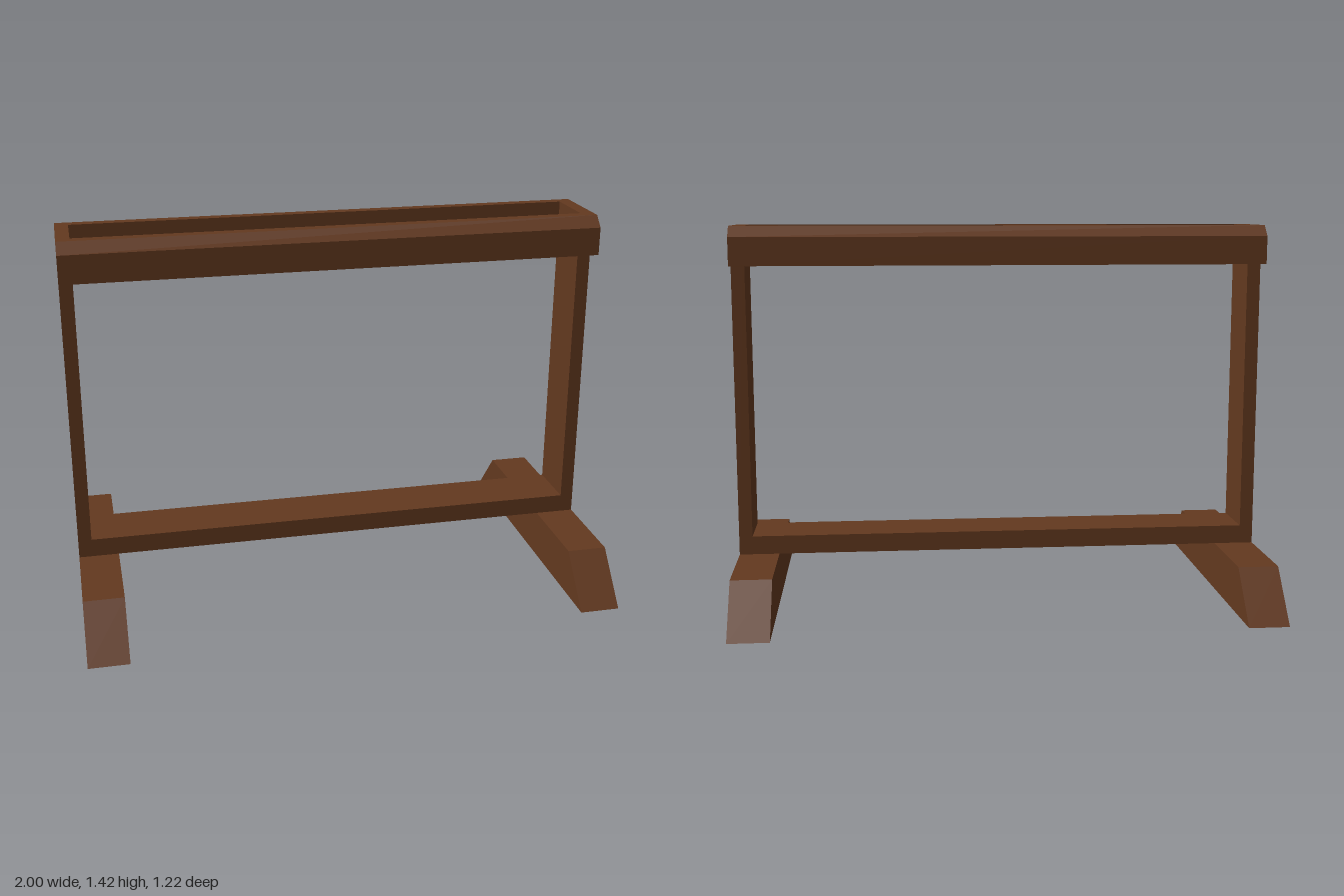
import * as THREE from 'three';

const wood = new THREE.MeshStandardMaterial({ color: 0x63391f, flatShading: true });

// Extrude a [z, y] profile along x, centred on x = 0
function extrudeAlongX(profile, length) {
  const shape = new THREE.Shape(profile.map(([z, y]) => new THREE.Vector2(z, y)));
  const geometry = new THREE.ExtrudeGeometry(shape, { depth: length, bevelEnabled: false });
  return geometry.translate(0, 0, -length / 2).rotateY(-Math.PI / 2);
}

export function createModel() {
  const model = new THREE.Group();
  model.name = 'woodenStand';

  const add = (name, geometry, x = 0, y = 0) => {
    const mesh = new THREE.Mesh(geometry, wood);
    mesh.name = name;
    mesh.position.set(x, y, 0);
    model.add(mesh);
    return mesh;
  };

  // Feet with sloped ends, and the posts standing on them up to the frame top
  const footProfile = [[-0.61, 0], [0.61, 0], [0.45, 0.18], [-0.45, 0.18]];
  const postHeight = 1.425 - 0.18;
  for (const [side, s] of [['left', 1], ['right', -1]]) {
    add(side + 'Foot', extrudeAlongX(footProfile, 0.15), s * 0.925);
    add(side + 'Post', new THREE.BoxGeometry(0.05, postHeight, 0.21), s * 0.975, 0.18 + postHeight / 2);
  }

  // Low stretcher board between the posts
  add('stretcher', new THREE.BoxGeometry(1.9, 0.07, 0.21), 0, 0.215);

  // Chamfered top rails, leaving an open slot between them
  const railProfile = [[0.105, 1.28], [0.185, 1.28], [0.185, 1.385], [0.145, 1.425], [0.105, 1.425]];
  add('frontRail', extrudeAlongX(railProfile, 2));
  add('backRail', extrudeAlongX(railProfile, 2)).rotation.y = Math.PI;

  return model;
}
